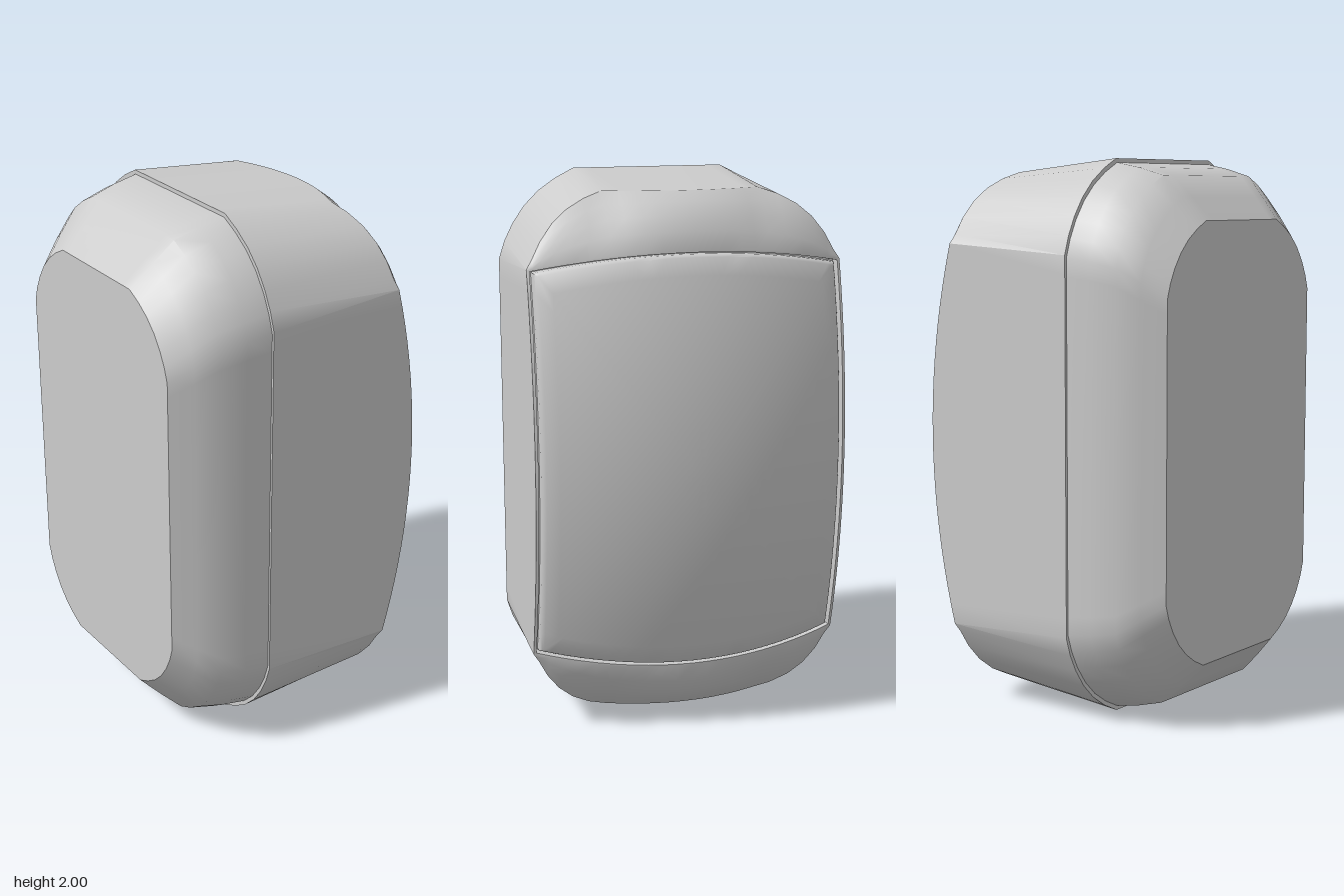
import * as THREE from 'three';
import { toCreasedNormals } from 'three/addons/utils/BufferGeometryUtils.js';

const HALF = 0.573;   // half depth of the shell

// One quadrant of the shell outline as [z, y], from top centre to side centre
const outline = [];
for (let i = 0; i < 6; i++) outline.push([0.286 * i / 5, 1]);
outline.push([0.286, 1], [0.355, 0.965], [0.42, 0.92], [0.475, 0.865], [0.52, 0.8], [0.552, 0.735]);
const SIDE = outline.length, STEPS = 10;
for (let i = 0; i <= STEPS; i++) outline.push([HALF, 0.67 * (1 - i / STEPS)]);
outline.splice(5, 1);
const sideStart = SIDE - 1;

// Domed front surface
const dome = (y, z) => 0.545 - 0.2 * y * y - 0.37 * z * z;

// Mirrors a quadrant of [x, y, z] points into a closed ring
function ring(pointAt) {
  const q = outline.map((p, i) => pointAt(p[0], p[1], i));
  const r = [...q].reverse();
  const flip = (list, sy, sz) => list.map(([x, y, z]) => [x, y * sy, z * sz]);
  return [...q, ...flip(r.slice(1), -1, 1), ...flip(q.slice(1), -1, -1), ...flip(r.slice(1, -1), 1, -1)];
}

// Skins consecutive rings, running towards +x
function loft(name, rings, crease) {
  const n = rings[0].length, pos = [], idx = [];
  rings.forEach(r => r.forEach(([x, y, z]) => pos.push(x, y + 1, z)));
  for (let i = 0; i < rings.length - 1; i++) {
    for (let j = 0; j < n; j++) {
      const a = i * n + j, b = i * n + (j + 1) % n;
      idx.push(a, b, b + n, a, b + n, a + n);
    }
  }
  const g = new THREE.BufferGeometry();
  g.setAttribute('position', new THREE.Float32BufferAttribute(pos, 3));
  g.setIndex(idx);
  const mesh = new THREE.Mesh(toCreasedNormals(g, crease), new THREE.MeshStandardMaterial({ color: 0xcccccc }));
  mesh.name = name;
  return mesh;
}

// Outline scaled at a given x
const section = (x, sy, sz) => ring((z, y) => [x, y * sy, z * sz]);

// Edge of the front opening: bowed top and bottom, straight sides
function rimPoint(z, i) {
  if (i >= sideStart) return [0.7 * (1 - (i - sideStart) / STEPS), HALF];
  return [0.7 + 0.06 * (1 - (z / HALF) ** 2), z];
}

// Rim inset by d, sunk below the dome, scaled by s towards the centre
const rimRing = (d, sink, s = 1) => ring((z, y, i) => {
  const [ry, rz] = rimPoint(z, i);
  const py = ry * (1 - 0.6 * d / 0.7) * s, pz = rz * (1 - d / HALF) * s;
  return [dome(py, pz) - sink, py, pz];
});

// Front edge of the straight band, before the bevel
function bandPoint(z, y, i) {
  if (i >= sideStart) {
    const [ry, rz] = rimPoint(z, i);
    return [dome(ry, rz), ry, rz];
  }
  const t = Math.max(0, (z - 0.286) / (HALF - 0.286));
  const x = z <= 0.286 ? 0.3 - 0.06 * (z / 0.286) ** 2 : 0.24 + 0.083 * t;
  return [x, y * (1 - 0.045 * (1 - t)), z];
}

// Rounded bevel between band and rim
const bevelRing = t => ring((z, y, i) => {
  const a = bandPoint(z, y, i), [ry, rz] = rimPoint(z, i);
  const b = [dome(ry, rz), ry, rz];
  const bulge = 0.08 * t * (1 - t) * (1 - (rz / HALF) ** 2);
  return a.map((v, k) => v + (b[k] - v) * t + (k < 2 ? bulge : 0));
});

export function createModel() {
  const group = new THREE.Group();
  group.name = 'roundedPod';

  // Rear cap with flat back
  group.add(loft('rearCap', [
    section(-0.55, 0, 0),
    section(-0.55, 0.785, 0.785),
    section(-0.475, 0.865, 0.87),
    section(-0.4, 0.94, 0.94),
    section(-0.3, 0.968, 0.968),
    section(-0.21, 0.985, 0.984),
    section(-0.19, 0.985, 0.984),
  ], 0.56));

  // Main shell, front bevel and recess around the panel
  group.add(loft('shell', [
    section(-0.208, 0.97, 0.97),
    section(-0.208, 1, 1),
    ring(bandPoint),
    bevelRing(0.25), bevelRing(0.5), bevelRing(0.75), bevelRing(1),
    rimRing(0.01, 0.002),
    rimRing(0.014, 0.04),
    rimRing(0.04, 0.04),
  ], 0.52));

  // Domed front panel with a softened edge
  const panel = [rimRing(0.02, 0.04), rimRing(0.021, 0.014), rimRing(0.026, 0.005), rimRing(0.036, 0)];
  for (let i = 1; i <= 12; i++) panel.push(rimRing(0.036, 0, 1 - i / 12));
  group.add(loft('frontPanel', panel, 0.8));

  return group;
}
